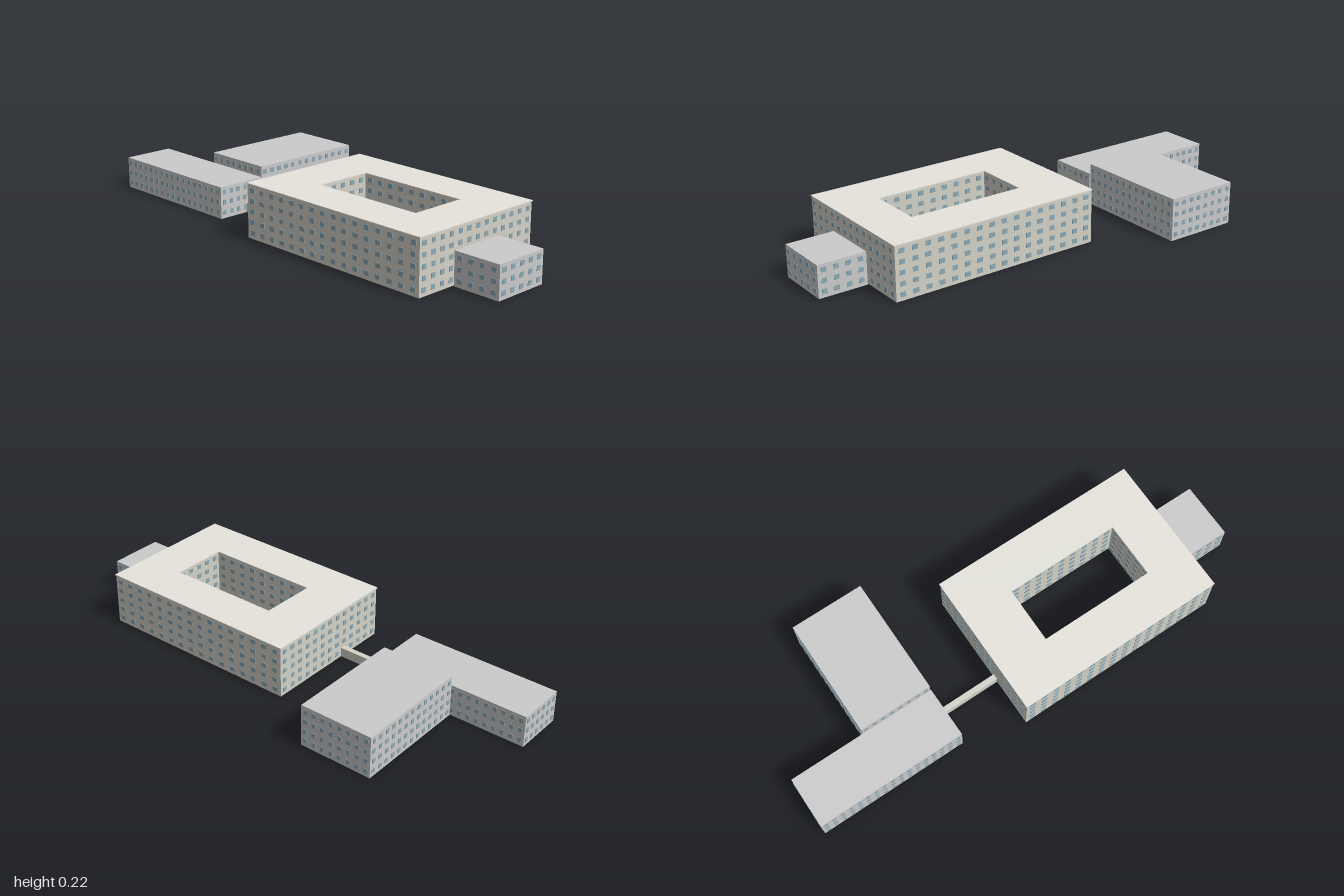
import * as THREE from 'three';
import { mergeGeometries } from 'three/addons/utils/BufferGeometryUtils.js';

const mat = (color) => new THREE.MeshStandardMaterial({ color, flatShading: true });
const warmWall = mat(0xd4d2c8), warmRoof = mat(0xe6e4dc), coolWall = mat(0xc8c8c8), glass = mat(0x8ca9b5);
const FLOOR = 0.0427, SILL = 0.0155, WIN_H = 0.019, WIN_DEPTH = 0.004;

// Vertical prism over plan corners [x, z], with an optional open court
function prism(name, corners, y0, y1, material, court) {
  const points = (list) => list.map(([x, z]) => new THREE.Vector2(x, -z));
  const shape = new THREE.Shape(points(corners));
  // The hole winds against the outline so that its walls face the court
  if (court) shape.holes.push(new THREE.Path(points(court).reverse()));
  const geo = new THREE.ExtrudeGeometry(shape, { depth: y1 - y0, bevelEnabled: false });
  geo.rotateX(-Math.PI / 2).translate(0, y0, 0);
  const mesh = new THREE.Mesh(geo, material);
  mesh.name = name;
  return mesh;
}

// Rows of windows on each wall of a plan outline running NW, NE, SE, SW
function windows(name, corners, counts, floors) {
  const panes = [];
  corners.forEach(([ax, az], k) => {
    const [bx, bz] = corners[(k + 1) % corners.length];
    const n = counts[k % 2];
    const dx = bx - ax, dz = bz - az;
    const width = Math.hypot(dx, dz) / n * 0.42;
    for (let i = 0; i < n; i++) {
      const t = (i + 0.5) / n;
      for (let f = 0; f < floors; f++) {
        panes.push(new THREE.BoxGeometry(width, WIN_H, WIN_DEPTH).rotateY(Math.atan2(-dz, dx))
          .translate(ax + dx * t, SILL + WIN_H / 2 + f * FLOOR, az + dz * t));
      }
    }
  });
  const mesh = new THREE.Mesh(mergeGeometries(panes), glass);
  mesh.name = name;
  return mesh;
}

// Plan outline grown away from its centre by a small distance
function grow(corners, d) {
  const cx = corners.reduce((s, c) => s + c[0], 0) / 4;
  const cz = corners.reduce((s, c) => s + c[1], 0) / 4;
  return corners.map(([x, z]) => [x + Math.sign(x - cx) * d, z + Math.sign(z - cz) * d]);
}

export function createModel() {
  const model = new THREE.Group();
  model.name = 'buildingComplex';

  // Main building around an open courtyard, with a thin overhanging roof slab
  const outer = [[-0.131, -0.217], [0.762, -0.279], [0.803, 0.322], [-0.09, 0.386]];
  const roofCourt = [[0.097, -0.05], [0.586, -0.084], [0.602, 0.153], [0.112, 0.188]];
  const court = grow(roofCourt, 0.003);
  const main = new THREE.Group();
  main.name = 'mainBuilding';
  main.add(
    prism('mainWalls', outer, 0, 0.218, warmWall, court),
    prism('mainRoof', grow(outer, 0.003), 0.218, 0.222, warmRoof, roofCourt),
    windows('mainWindows', outer, [16, 13], 5),
    windows('courtyardWindows', court, [9, 5], 5),
  );
  model.add(main);

  // Plain grey wings
  const wings = [
    ['leftAnnex', [[0.78, -0.088], [0.981, -0.102], [0.998, 0.134], [0.797, 0.149]], 0.133, [4, 5], 3],
    ['frontWing', [[-0.998, 0.162], [-0.364, 0.118], [-0.348, 0.333], [-0.983, 0.378]], 0.133, [17, 6], 3],
    ['rearWing', [[-0.714, -0.366], [-0.401, -0.388], [-0.366, 0.115], [-0.678, 0.137]], 0.177, [8, 13], 4],
  ];
  for (const [name, corners, height, counts, floors] of wings) {
    const wing = new THREE.Group();
    wing.name = name;
    wing.add(
      prism(name + 'Walls', corners, 0, height, coolWall),
      windows(name + 'Windows', corners, counts, floors),
    );
    model.add(wing);
  }

  // Low passage joining the front wing to the main building
  const passage = [[-0.362, 0.178], [-0.1, 0.159], [-0.1, 0.182], [-0.36, 0.201]];
  model.add(prism('passage', passage, 0, 0.04, warmWall));
  return model;
}
